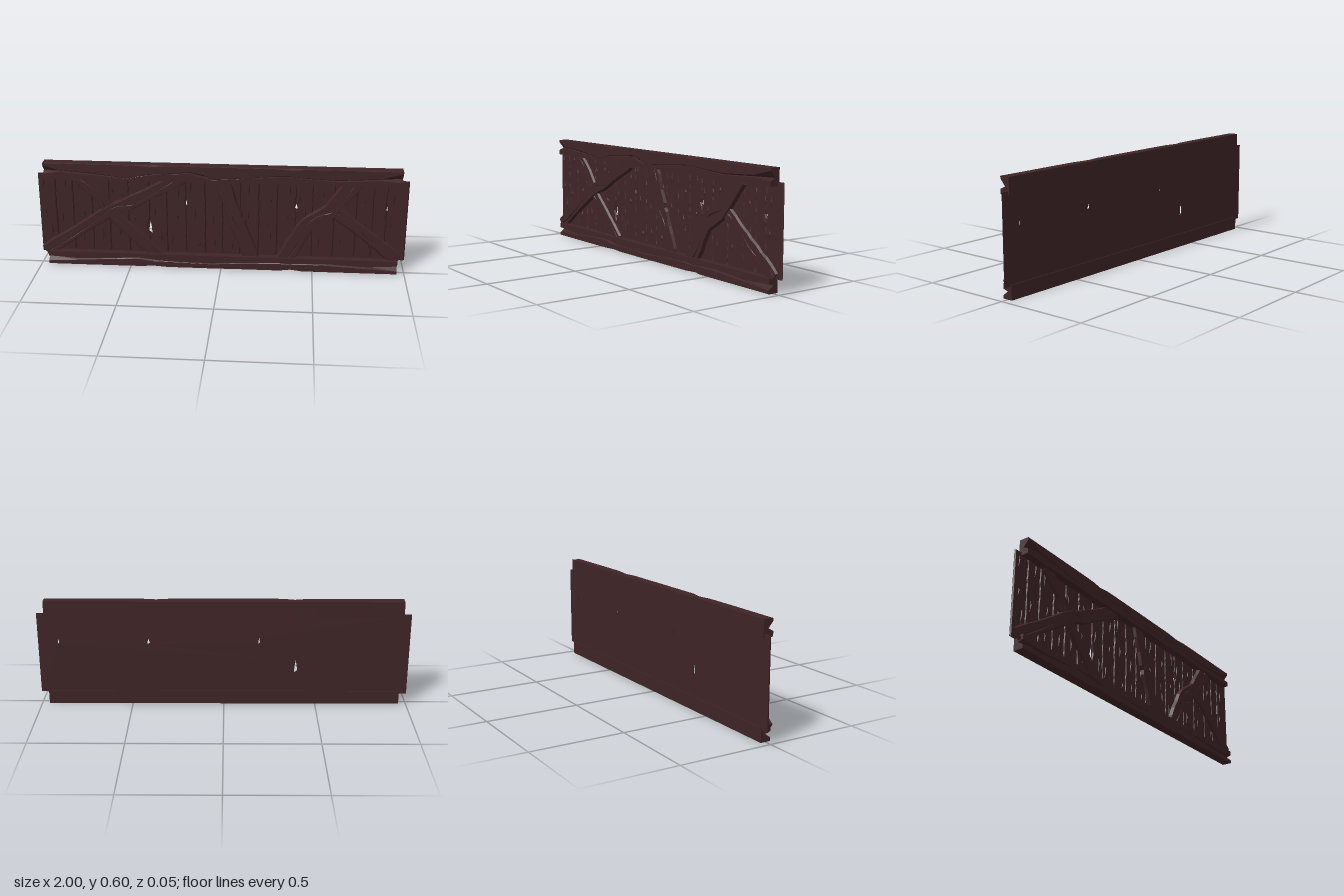
import * as THREE from 'three';
import { mergeGeometries } from 'three/addons/utils/BufferGeometryUtils.js';

const wood = new THREE.MeshStandardMaterial({ color: 0x3f2426, flatShading: true });
wood.name = 'dark wood';

let seed = 7;
const rand = () => (seed = (seed * 16807) % 2147483647) / 2147483647;
const jitter = (a) => (rand() - 0.5) * 2 * a;

function facets(points) {
  const g = new THREE.BufferGeometry();
  g.setAttribute('position', new THREE.Float32BufferAttribute(points.flat(), 3));
  g.computeVertexNormals();
  return g;
}

// Joins [u, z] sections into a closed solid; place(i, u, z) gives the point in space
function sweep(sections, place) {
  const out = [];
  const rings = sections.map((s, i) => s.map(([u, z]) => place(i, u, z)));
  for (let i = 0; i < rings.length - 1; i++) {
    const p = rings[i], q = rings[i + 1], n = p.length;
    for (let j = 0; j < n; j++) {
      const k = (j + 1) % n;
      out.push(p[j], p[k], q[k], p[j], q[k], q[j]);
    }
  }
  const cap = (i, flip) => {
    const contour = sections[i].map(([u, z]) => new THREE.Vector2(u, z));
    for (const f of THREE.ShapeUtils.triangulateShape(contour, [])) {
      const t = f.map((v) => rings[i][v]);
      out.push(...(flip ? t.reverse() : t));
    }
  };
  cap(0, true);
  cap(rings.length - 1, false);
  return facets(out);
}

// Rail along x; keys are [x, crack height, crack depth, crack half width, edge chip]
function rail(y0, y1, keys, flip) {
  const zb = -0.027, zf = 0.028;
  const sections = keys.map(([, yn, d, w, c]) => {
    const s = [[y0, zb], [y1, zb], [y1, zf - c], [y1 - c * 0.5, zf],
      [yn + w, zf], [yn, zf - d], [yn - w * 0.4, zf], [y0, zf]];
    return flip ? s.map(([y, z]) => [y0 + y1 - y, z]).reverse() : s;
  });
  return sweep(sections, (i, y, z) => [keys[i][0], y, z]);
}

// Bent brace along a path with bevelled edges and a wandering crack
function brace(path, half, zf) {
  const curve = new THREE.CatmullRomCurve3(
    path.map(([x, y]) => new THREE.Vector3(x, y, 0)), false, 'catmullrom', 0.25);
  const zb = -0.005, n = 14, sections = [];
  for (let i = 0; i <= n; i++) {
    const w = half + jitter(0.004);
    const c = half * 0.35 * Math.sin(i * 0.7 + path[0][0] * 9);
    const d = Math.max(0.0005, 0.009 * Math.sin(i * 0.9 + 1));
    sections.push([[-w, zb], [w, zb], [w - 0.007, zf], [c + 0.004, zf],
      [c, zf - d], [c - 0.003, zf], [0.007 - w, zf]]);
  }
  return sweep(sections, (i, u, z) => {
    const p = curve.getPoint(i / n), t = curve.getTangent(i / n);
    return [p.x - t.y * u, p.y + t.x * u, z];
  });
}

export function createModel() {
  const model = new THREE.Group();
  const add = (name, geometry) => {
    const mesh = new THREE.Mesh(geometry, wood);
    mesh.name = name;
    model.add(mesh);
  };

  // Gaps through the panel: [x, y, half width, half height]
  const holes = [[-0.39, 0.22, 0.009, 0.036], [-0.19, 0.37, 0.004, 0.017],
    [0.405, 0.365, 0.007, 0.016], [0.89, 0.365, 0.004, 0.014]];

  // Backing sheet
  const sheet = new THREE.Shape([[-1, 0.06], [1, 0.068], [1, 0.525], [-1, 0.52]]
    .map((p) => new THREE.Vector2(...p)));
  for (const [x, y, w, h] of holes) {
    sheet.holes.push(new THREE.Path([[x - w, y - h * 0.6], [x + w, y - h], [x + w * 0.6, y + h * 0.2], [x, y + h]]
      .map((p) => new THREE.Vector2(...p))));
  }
  const backing = new THREE.ExtrudeGeometry(sheet, { depth: 0.002, bevelEnabled: false });
  add('panelBacking', backing.translate(0, 0, -0.022));

  // Planks with shared ragged seams
  const seams = [-1, -0.905, -0.81, -0.705, -0.61, -0.505, -0.39, -0.295, -0.19, -0.085, 0.01,
    0.105, 0.205, 0.305, 0.405, 0.495, 0.61, 0.73, 0.82, 0.89, 1];
  const rows = 23;
  const rowY = (i, x) => THREE.MathUtils.lerp(0.064 + x * 0.004, 0.5225 + x * 0.0025, i / rows);
  const edges = seams.map((x) => Array.from({ length: rows + 1 },
    () => x + (Math.abs(x) === 1 ? 0 : jitter(0.0025))));
  const retreat = (seam, y) => {
    const hole = holes.find((h) => h[0] === seam);
    return hole ? hole[2] * 1.8 * Math.max(0, 1 - Math.abs(y - hole[1]) / (hole[3] * 1.6)) : 0;
  };
  const planks = [], splinters = [];
  for (let k = 0; k < seams.length - 1; k++) {
    const zf = -0.0135 + jitter(0.0006);
    const sections = edges[k].map((e, i) => {
      const y = rowY(i, seams[k]);
      const xl = e + retreat(seams[k], y);
      const xr = edges[k + 1][i] - retreat(seams[k + 1], y);
      return [[-xr, -0.02], [-xl, -0.02], [-xl - 0.003, zf], [-xr + 0.006, zf]];
    });
    planks.push(sweep(sections, (i, u, z) => [-u, rowY(i, -u), z]));

    // Raised splinters on the plank face
    for (let j = 0; j < 3; j++) {
      const x = seams[k] + 0.015 + rand() * 0.055, y = 0.09 + j * 0.14 + rand() * 0.07;
      const len = 0.03 + rand() * 0.06, lean = jitter(0.008);
      const a = [x, y, zf], b = [x + lean, y + len, zf];
      const crest = [x + lean / 2 + 0.002, y + len * 0.6, zf + 0.006];
      const r = [x + lean / 2 + 0.008, y + len * 0.5, zf];
      splinters.push(facets([a, r, crest, r, b, crest, a, crest, b]));
    }
  }
  add('planks', mergeGeometries(planks));
  add('plankSplinters', mergeGeometries(splinters));

  // Top and bottom rails with split ends and chipped outer edges
  add('topRail', rail(0.505, 0.593, [
    [-0.96, 0.545, 0.03, 0.035, 0.003], [-0.88, 0.548, 0.018, 0.008, 0.003],
    [-0.7, 0.535, 0.014, 0.009, 0.002], [-0.5, 0.515, 0.002, 0.003, 0.003],
    [-0.44, 0.53, 0.001, 0.003, 0.006], [-0.38, 0.54, 0.004, 0.004, 0.019],
    [-0.31, 0.545, 0.002, 0.003, 0.003], [-0.17, 0.555, 0.01, 0.007, 0.002],
    [-0.09, 0.535, 0.015, 0.012, 0.003], [-0.05, 0.52, 0.002, 0.004, 0.002],
    [0.15, 0.535, 0.003, 0.003, 0.004], [0.28, 0.545, 0.008, 0.005, 0.004],
    [0.36, 0.55, 0.003, 0.003, 0.016], [0.46, 0.54, 0.005, 0.004, 0.003],
    [0.62, 0.53, 0.012, 0.007, 0.002], [0.84, 0.542, 0.016, 0.008, 0.004],
    [0.96, 0.545, 0.03, 0.035, 0.003]], false));
  add('bottomRail', rail(0, 0.075, [
    [-0.96, 0.035, 0.03, 0.022, 0.003], [-0.8, 0.04, 0.014, 0.008, 0.002],
    [-0.58, 0.03, 0.004, 0.004, 0.003], [-0.45, 0.025, 0.012, 0.007, 0.004],
    [-0.37, 0.035, 0.012, 0.008, 0.014], [-0.3, 0.04, 0.002, 0.003, 0.003],
    [-0.05, 0.045, 0.01, 0.005, 0.002], [0.12, 0.035, 0.003, 0.003, 0.004],
    [0.32, 0.03, 0.004, 0.004, 0.004], [0.38, 0.035, 0.006, 0.004, 0.02],
    [0.44, 0.03, 0.004, 0.004, 0.003], [0.56, 0.028, 0.012, 0.007, 0.002],
    [0.8, 0.04, 0.016, 0.008, 0.003], [0.96, 0.035, 0.03, 0.022, 0.003]], true));

  // Small splinter standing on the top rail
  add('railSplinter', new THREE.ConeGeometry(0.005, 0.012, 4).translate(0.68, 0.594, -0.003));

  // Diagonal braces between the rails
  add('leftFrontBrace', brace([[-0.975, 0.07], [-0.61, 0.315], [-0.5, 0.365], [-0.22, 0.515]], 0.036, 0.014));
  add('leftRearBrace', brace([[-0.79, 0.515], [-0.67, 0.41], [-0.58, 0.28], [-0.35, 0.06]], 0.034, 0.007));
  add('middleBrace', brace([[0.0, 0.52], [0.08, 0.29], [0.172, 0.055]], 0.042, 0.01));
  add('rightFrontBrace', brace([[0.345, 0.05], [0.46, 0.26], [0.58, 0.345], [0.715, 0.52]], 0.047, 0.014));
  add('rightRearBrace', brace([[0.59, 0.365], [0.78, 0.22], [0.965, 0.075]], 0.036, 0.007));

  return model;
}
